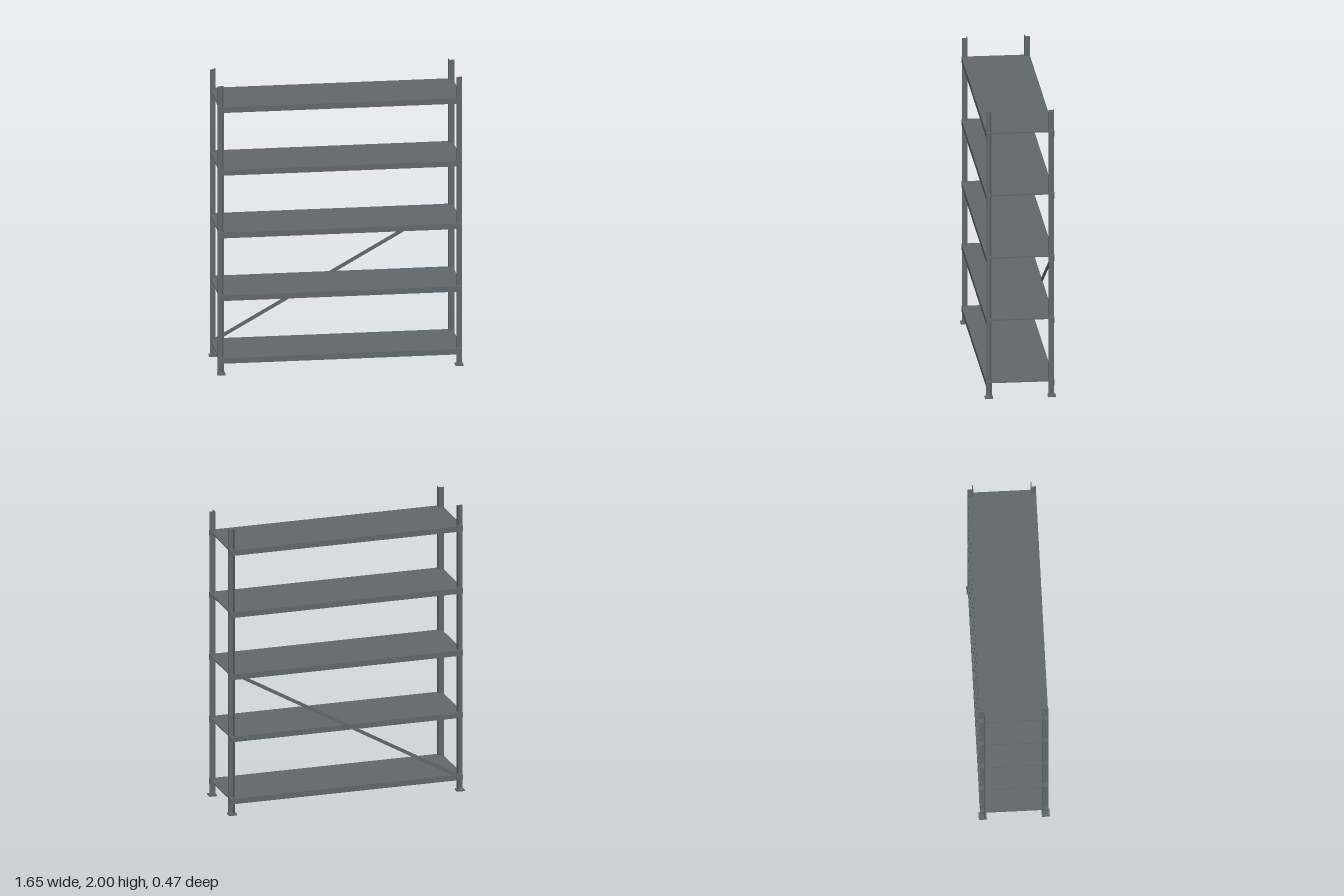
import * as THREE from 'three';

export function createModel() {
  const model = new THREE.Group();
  const steel = new THREE.MeshStandardMaterial({ color: 0x5f686e });
  steel.name = 'greySteel';

  const addBox = (parent, name, size, pos) => {
    const mesh = new THREE.Mesh(new THREE.BoxGeometry(...size), steel);
    mesh.name = name;
    mesh.position.set(...pos);
    parent.add(mesh);
    return mesh;
  };

  // Angle-iron uprights: the corner of each L points inward, with a foot plate below
  const inX = 0.783, inZ = 0.191, flange = 0.037, t = 0.006, footH = 0.01;
  const postH = 2 - footH, postY = footH + postH / 2;
  for (const sx of [-1, 1]) {
    for (const sz of [-1, 1]) {
      const upright = new THREE.Group();
      upright.name = (sz > 0 ? 'front' : 'back') + (sx > 0 ? 'Left' : 'Right') + 'Upright';
      addBox(upright, 'wideFlange', [flange, postH, t],
        [sx * (inX + flange / 2), postY, sz * (inZ + t / 2)]);
      addBox(upright, 'sideFlange', [t, postH, flange - t],
        [sx * (inX + t / 2), postY, sz * (inZ + t + (flange - t) / 2)]);
      addBox(upright, 'footPlate', [0.053, footH, 0.053], [sx * 0.799, footH / 2, sz * 0.21]);
      model.add(upright);
    }
  }

  // Shelves: a thin deck with a rail along the front and back
  const halfW = 0.816, halfD = 0.228, deckT = 0.008, railH = 0.038, railT = 0.008;
  for (let i = 0; i < 5; i++) {
    const top = 0.116 + i * 0.4365;
    const shelf = new THREE.Group();
    shelf.name = 'shelf' + (i + 1);
    addBox(shelf, 'deck', [halfW * 2, deckT, halfD * 2], [0, top - deckT / 2, 0]);
    for (const sz of [-1, 1]) {
      addBox(shelf, sz > 0 ? 'frontRail' : 'backRail', [halfW * 2, railH - deckT, railT],
        [0, top - deckT - (railH - deckT) / 2, sz * (halfD - railT / 2)]);
    }
    model.add(shelf);
  }

  // Diagonal brace across the lower half of the back
  const a = new THREE.Vector2(-0.78, 0.108), b = new THREE.Vector2(0.77, 0.984);
  const span = b.clone().sub(a);
  const brace = addBox(model, 'backBrace', [span.length(), 0.022, 0.01],
    [(a.x + b.x) / 2, (a.y + b.y) / 2, -0.225]);
  brace.rotation.z = span.angle();

  return model;
}
